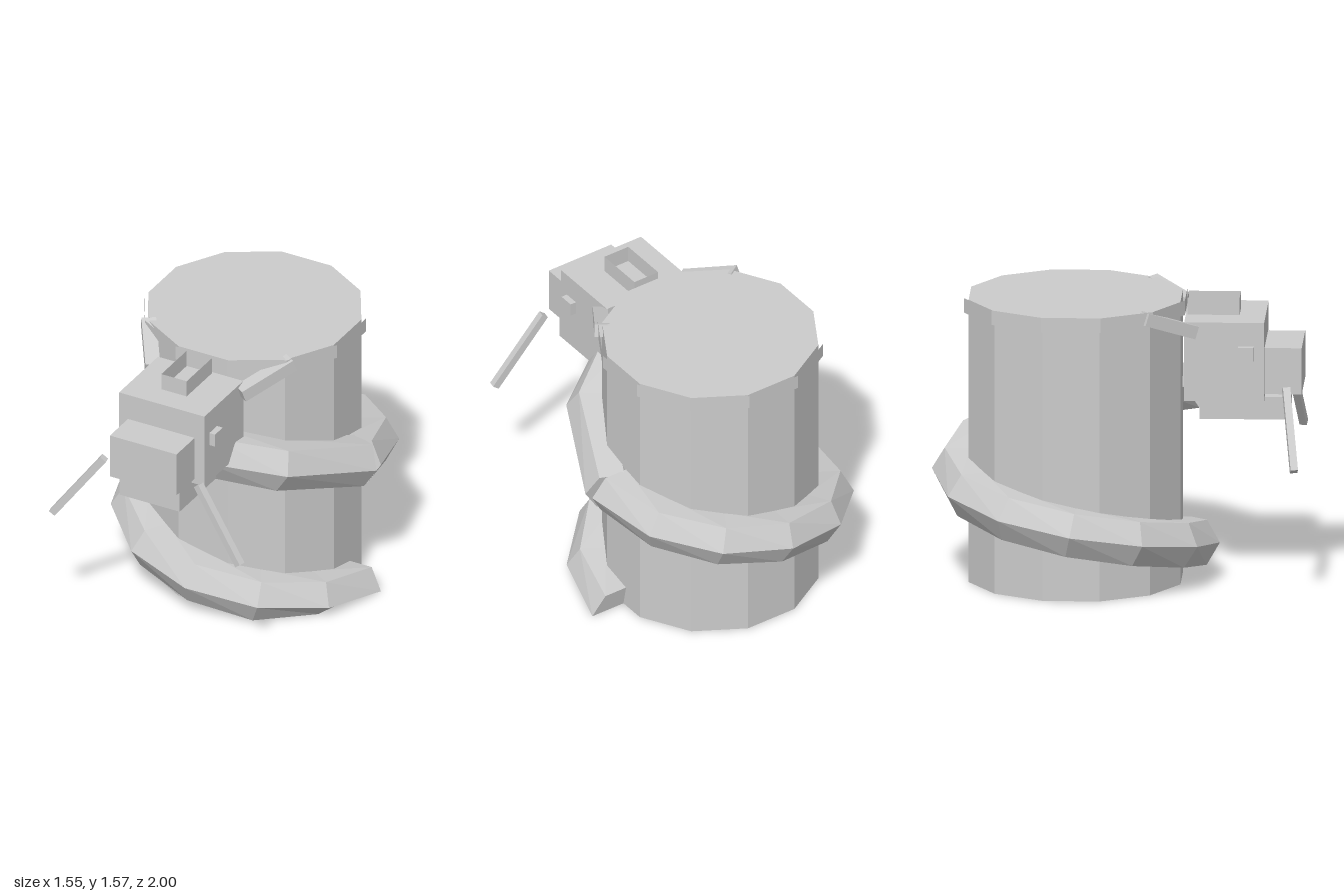
import * as THREE from 'three';

const grey = new THREE.MeshStandardMaterial({ color: 0xcccccc, flatShading: true });
const greyDouble = new THREE.MeshStandardMaterial({ color: 0xcccccc, flatShading: true, side: THREE.DoubleSide });
const V = (x, y, z) => new THREE.Vector3(x, y, z);
const UP = V(0, 1, 0);

// Six-sided tube swept along a list of points, closed at both ends, kept above the ground
function hexTube(points, tangents, radius) {
  const pos = [], idx = [], n = points.length;
  points.forEach((p, i) => {
    const t = tangents[i].clone().normalize();
    const side = UP.clone().cross(t).normalize();
    const up = t.clone().cross(side);
    for (let k = 0; k < 6; k++) {
      const a = k * Math.PI / 3;
      const v = p.clone().addScaledVector(side, radius * Math.cos(a)).addScaledVector(up, radius * Math.sin(a));
      pos.push(v.x, Math.max(0, v.y), v.z);
    }
  });
  for (let i = 0; i < n - 1; i++) {
    for (let k = 0; k < 6; k++) {
      const a = i * 6 + k, b = i * 6 + (k + 1) % 6;
      idx.push(a, b, b + 6, a, b + 6, a + 6);
    }
  }
  const e = (n - 1) * 6;
  for (let k = 1; k < 5; k++) idx.push(0, k + 1, k, e, e + k, e + k + 1);
  const g = new THREE.BufferGeometry();
  g.setAttribute('position', new THREE.Float32BufferAttribute(pos, 3));
  g.setIndex(idx);
  const flat = g.toNonIndexed();
  flat.computeVertexNormals();
  return flat;
}

export function createModel() {
  const model = new THREE.Group();
  const add = (name, geometry, x = 0, y = 0, z = 0, material = grey, parent = model) => {
    const m = new THREE.Mesh(geometry, material);
    m.name = name;
    m.position.set(x, y, z);
    parent.add(m);
    return m;
  };
  // Box given by its minimum and maximum corners
  const box = (name, a, b) => add(name,
    new THREE.BoxGeometry(b[0] - a[0], b[1] - a[1], b[2] - a[2]),
    (a[0] + b[0]) / 2, (a[1] + b[1]) / 2, (a[2] + b[2]) / 2);
  // Square bar between two points
  const bar = (name, a, b, w, d) => {
    const m = add(name, new THREE.BoxGeometry(w, d, a.distanceTo(b)), ...a.clone().lerp(b, 0.5).toArray());
    m.lookAt(b);
    return m;
  };

  // Twelve-sided barrel, open below, with a flat lid and a thin rim band
  const cz = -0.225, turn = Math.PI / 12;
  const barrel = new THREE.Group();
  barrel.name = 'barrel';
  model.add(barrel);
  add('barrelWall', new THREE.CylinderGeometry(0.59, 0.59, 1.56, 12, 1, true, turn), 0, 0.78, cz, greyDouble, barrel);
  add('barrelLid', new THREE.CircleGeometry(0.59, 12, turn), 0, 1.56, cz, greyDouble, barrel).rotation.x = -Math.PI / 2;
  add('barrelRim', new THREE.CylinderGeometry(0.615, 0.615, 0.08, 12, 1, true, turn), 0, 1.53, cz, grey, barrel);

  // Body: one full turn around the barrel
  const R = 0.635, pitch = 0.79, points = [], tangents = [];
  for (let i = 0; i <= 12; i++) {
    const a = i * Math.PI / 6;
    points.push(V(R * Math.cos(a), pitch * i / 12, cz + R * Math.sin(a)));
    tangents.push(V(-R * Math.sin(a), pitch / (2 * Math.PI), R * Math.cos(a)));
  }
  add('coiledBody', hexTube(points, tangents, 0.14));

  // Neck: from the end of the turn up to the back of the head
  const neck = [V(0.65, 0.785, -0.22), V(0.42, 0.95, 0.28), V(0.1, 1.05, 0.48)];
  const neckDir = [V(-0.2, 0.14, 0.5), V(-0.28, 0.14, 0.36), V(-0.32, 0.1, 0.2)];
  add('neck', hexTube(neck, neckDir, 0.14));

  // Head, snout and lower jaw
  box('head', [-0.265, 1.04, 0.37], [0.26, 1.475, 0.8]);
  box('snout', [-0.21, 1.07, 0.8], [0.2, 1.325, 1]);
  box('lowerJaw', [-0.19, 0.925, 0.45], [0.18, 1.05, 0.93]);

  // Open crest on top of the head: four thin walls
  const crest = new THREE.Group();
  crest.name = 'crest';
  model.add(crest);
  for (const s of [-1, 1]) {
    add('crestSide', new THREE.PlaneGeometry(0.28, 0.095), -0.005 + s * 0.078, 1.522, 0.52, greyDouble, crest).rotation.y = Math.PI / 2;
    add('crestEnd', new THREE.PlaneGeometry(0.156, 0.095), -0.005, 1.522, 0.52 + s * 0.14, greyDouble, crest);
  }

  // Paired eyes, horns and whiskers
  for (const s of [-1, 1]) {
    const e = add('eye', new THREE.BoxGeometry(0.05, 0.075, 0.085), s * 0.27, 1.307, 0.703);
    e.name = s > 0 ? 'leftEye' : 'rightEye';
    bar(s > 0 ? 'leftHorn' : 'rightHorn', V(s * 0.27, 1.425, 0.42), V(s * 0.44, 1.535, 0.16), 0.08, 0.07);
    bar(s > 0 ? 'leftWhisker' : 'rightWhisker', V(s * 0.29, 1.12, 0.92), V(s * 0.575, 0.73, 0.975), 0.04, 0.04);
  }
  return model;
}
